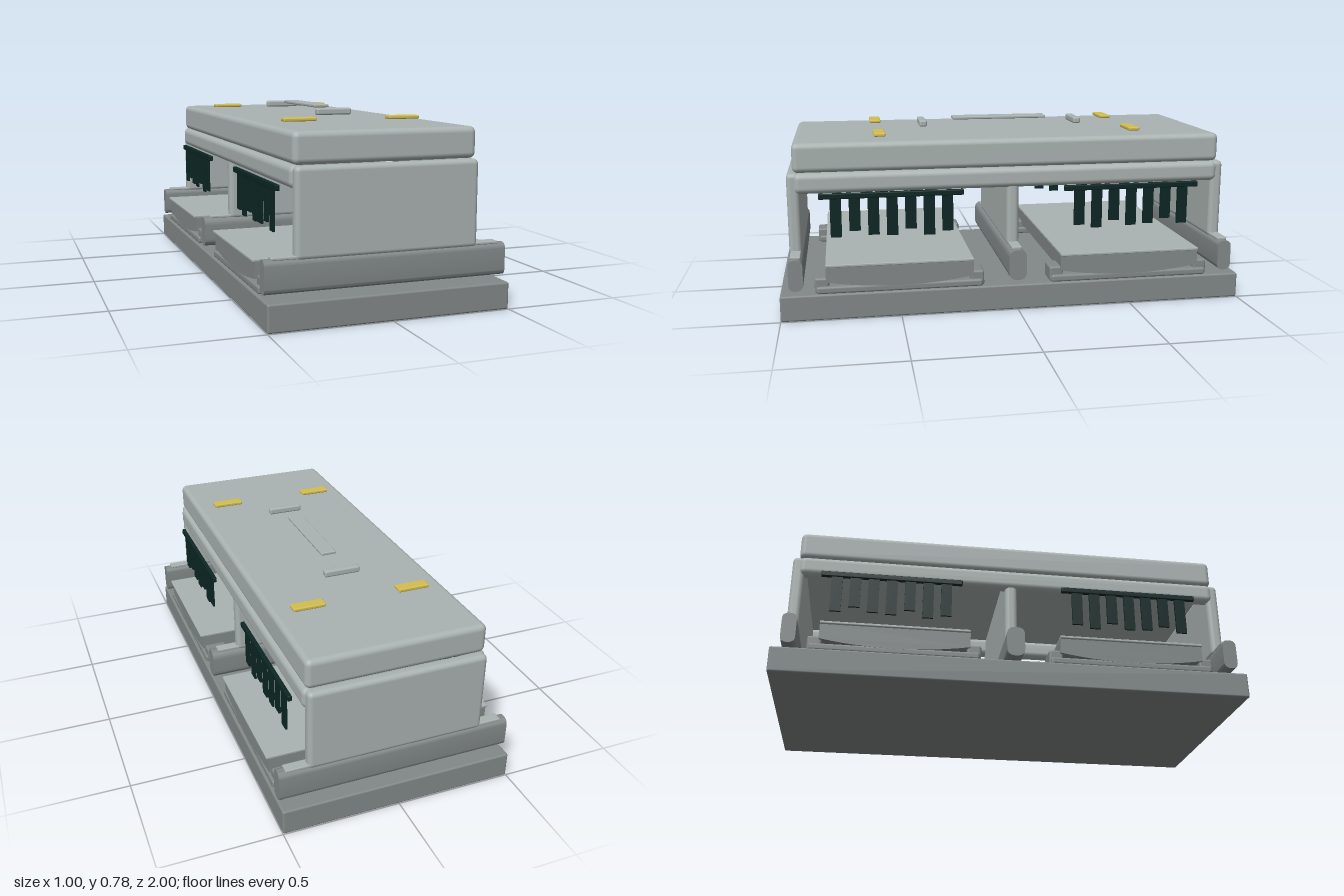
import * as THREE from 'three';
import { RoundedBoxGeometry } from 'three/addons/geometries/RoundedBoxGeometry.js';
import { toCreasedNormals } from 'three/addons/utils/BufferGeometryUtils.js';

const material = (name, color) => Object.assign(new THREE.MeshStandardMaterial({ color }), { name });

export function createModel() {
  const model = new THREE.Group();
  model.name = 'openCabin';
  const shell = material('pale grey shell', 0xaab3b1);
  const steel = material('mid grey base', 0x838989);
  const dark = material('dark fringe', 0x0c2624);
  const yellow = material('yellow lamp', 0xd3be50);

  const add = (name, geometry, mat, x, y, z, parent = model) => {
    const mesh = new THREE.Mesh(geometry, mat);
    mesh.name = name;
    mesh.position.set(x, y, z);
    parent.add(mesh);
    return mesh;
  };

  // Rounded box given by width, depth, its bottom and its top
  const block = (name, mat, w, y0, y1, d, r, x = 0, z = 0, parent = model) =>
    add(name, new RoundedBoxGeometry(w, y1 - y0, d, 3, r), mat, x, (y0 + y1) / 2, z, parent);

  // Cross-section (z, y) swept along x
  const sweep = (shape, width) => {
    const g = new THREE.ExtrudeGeometry(shape, { depth: width, bevelEnabled: false, curveSegments: 12 });
    g.translate(0, 0, -width / 2);
    g.rotateY(Math.PI / 2);
    return toCreasedNormals(g, 0.6);
  };

  // Rounded bumper section
  const bumperShape = (halfWidth, y0, y1) => {
    const s = new THREE.Shape();
    const r = halfWidth * 0.9;
    s.moveTo(-halfWidth, y0 + r);
    s.quadraticCurveTo(-halfWidth, y0, 0, y0);
    s.quadraticCurveTo(halfWidth, y0, halfWidth, y0 + r);
    s.lineTo(halfWidth, y1 - r);
    s.quadraticCurveTo(halfWidth, y1, 0, y1);
    s.quadraticCurveTo(-halfWidth, y1, -halfWidth, y1 - r);
    return s;
  };

  // Platform, roof and roof-edge rails
  block('base', steel, 1, 0, 0.11, 2, 0.008);
  block('roof', shell, 0.756, 0.6, 0.725, 1.866, 0.024);
  for (const side of [-1, 1]) {
    block('sideRail', shell, 0.06, 0.512, 0.6, 1.86, 0.026, side * 0.358);
  }

  // Cross walls, each standing on a bumper
  for (const z of [-0.932, 0, 0.932]) {
    const half = z === 0 ? 0.038 : 0.03;
    block('crossWall', shell, 0.756, 0.25, 0.6, 0.054, 0.02, 0, z);
    add('bumper', sweep(bumperShape(half, 0.13, 0.262), 1), steel, 0, 0, z);
    block('bumperCap', shell, 0.94, 0.258, 0.27, 0.044, 0.004, 0, z);
  }

  // Load bed section with a bowed underside
  const bedShape = new THREE.Shape();
  bedShape.moveTo(-0.31, 0.16);
  bedShape.quadraticCurveTo(0, 0.104, 0.31, 0.16);
  bedShape.lineTo(0.31, 0.226);
  bedShape.lineTo(-0.31, 0.226);

  for (const end of [-1, 1]) {
    // Bed with its top plate and four feet brackets
    const bed = new THREE.Group();
    bed.name = 'bed';
    bed.position.z = end * 0.5;
    model.add(bed);
    add('bedBody', sweep(bedShape, 0.98), steel, 0, 0, 0, bed);
    block('bedPlate', shell, 1, 0.225, 0.236, 0.62, 0.003, 0, 0, bed);
    for (const side of [-1, 1]) {
      block('bedRunner', steel, 0.12, 0.108, 0.14, 0.7, 0.01, side * 0.43, 0, bed);
      for (const e of [-1, 1]) {
        block('bedBracket', steel, 0.1, 0.11, 0.176, 0.06, 0.01, side * 0.43, e * 0.327, bed);
      }
    }

    // Hanging fringe on both sides
    const bottoms = [0.34, 0.325, 0.355, 0.33, 0.335, 0.355, 0.33];
    for (const side of [-1, 1]) {
      const fringe = new THREE.Group();
      fringe.name = 'fringe';
      fringe.position.set(side * 0.405, 0, end * 0.525);
      model.add(fringe);
      block('fringeBar', dark, 0.018, 0.494, 0.518, 0.61, 0.004, 0, 0, fringe);
      bottoms.forEach((y, i) => {
        add('fringeStrip', new THREE.BoxGeometry(0.009, 0.505 - y, 0.047), dark,
          0, (0.505 + y) / 2, end * (i - 3) * 0.0785, fringe);
      });
      // Roof lamp
      block('roofLamp', yellow, 0.138, 0.735, 0.75, 0.05, 0.005, side * 0.23, end * 0.565);
    }
    // Short roof bar
    block('roofBar', shell, 0.158, 0.744, 0.773, 0.034, 0.008, 0, end * 0.358);
  }

  // Long central roof strip
  block('roofStrip', shell, 0.07, 0.768, 0.782, 0.436, 0.005);

  return model;
}
